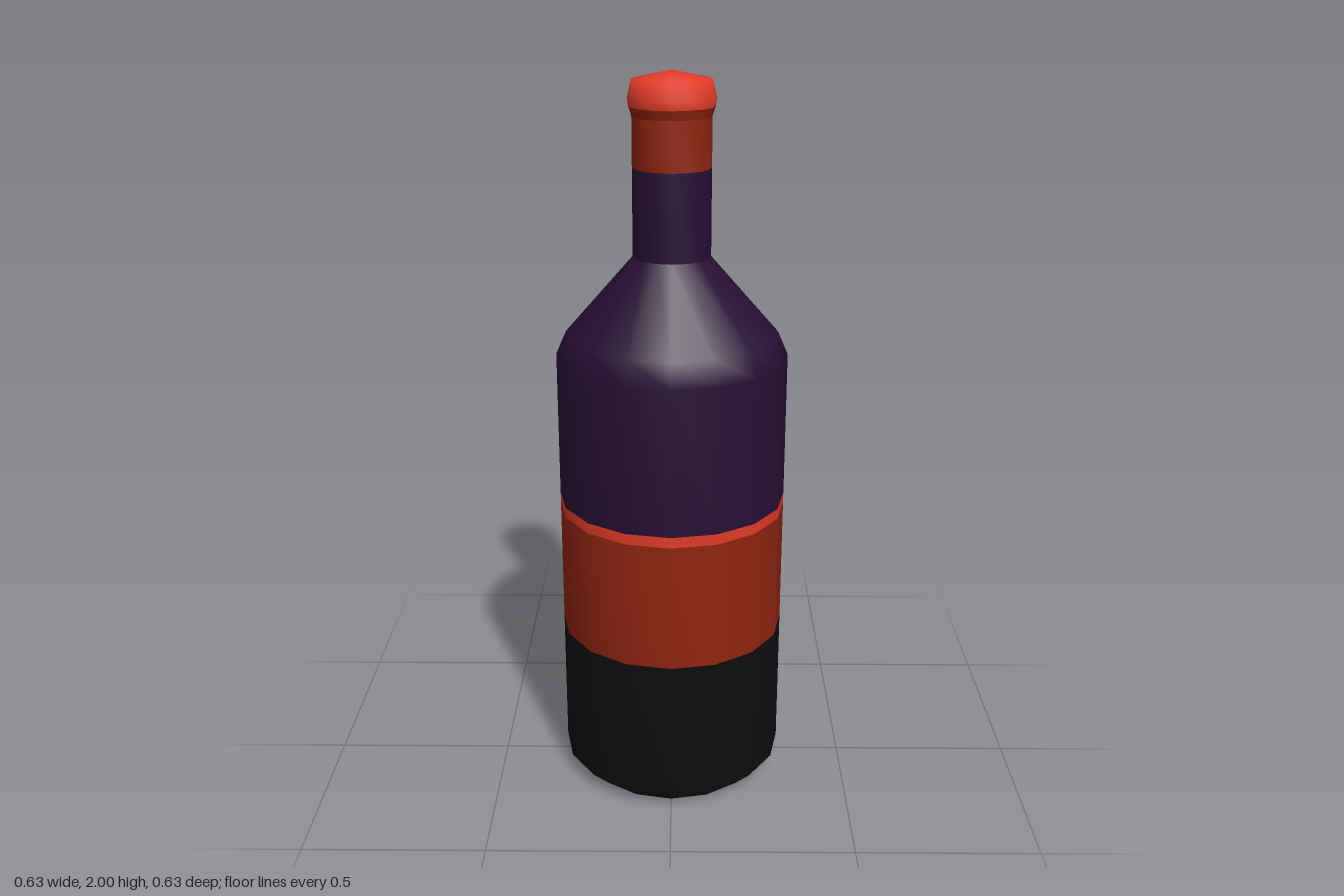
import * as THREE from 'three';
import { mergeVertices } from 'three/addons/utils/BufferGeometryUtils.js';

const SIDES = 16;

const material = (name, color) => {
  const m = new THREE.MeshStandardMaterial({ color });
  m.name = name;
  return m;
};

// Smooth 16-sided turned part from [radius, height] pairs, bottom to top
function turned(name, mat, profile) {
  const points = profile.map(([r, y]) => new THREE.Vector2(r, y));
  let geo = new THREE.LatheGeometry(points, SIDES);
  geo.deleteAttribute('normal');
  geo.deleteAttribute('uv');
  geo = mergeVertices(geo, 1e-5);
  geo.computeVertexNormals();
  const mesh = new THREE.Mesh(geo, mat);
  mesh.name = name;
  return mesh;
}

export function createModel() {
  const black = material('black glass', 0x0e0e0e);
  const purple = material('dark purple glass', 0x280f34);
  const darkRed = material('dark red label', 0x8f2410);
  const red = material('bright red', 0xdf3b27);

  const bottle = new THREE.Group();
  bottle.name = 'bottle';
  bottle.add(
    // Body, from the floor up
    turned('base', black, [[0, 0], [0.262, 0], [0.315, 0.052], [0.315, 0.455]]),
    turned('label', darkRed, [[0.315, 0.455], [0.315, 0.815]]),
    turned('labelStripe', red, [[0.315, 0.815], [0.315, 0.845]]),
    turned('shoulder', purple, [[0.315, 0.845], [0.315, 1.25], [0.287, 1.315], [0.104, 1.522]]),
    // Neck and its foil wrap
    turned('neck', purple, [[0.104, 1.522], [0.104, 1.755]]),
    turned('neckWrap', darkRed, [[0.104, 1.755], [0.104, 1.885]]),
    // Flared lip and domed cap
    turned('lip', darkRed, [[0.104, 1.885], [0.112, 1.91]]),
    turned('cap', red, [[0.112, 1.91], [0.115, 1.932], [0.104, 1.978], [0, 2]])
  );
  return bottle;
}
